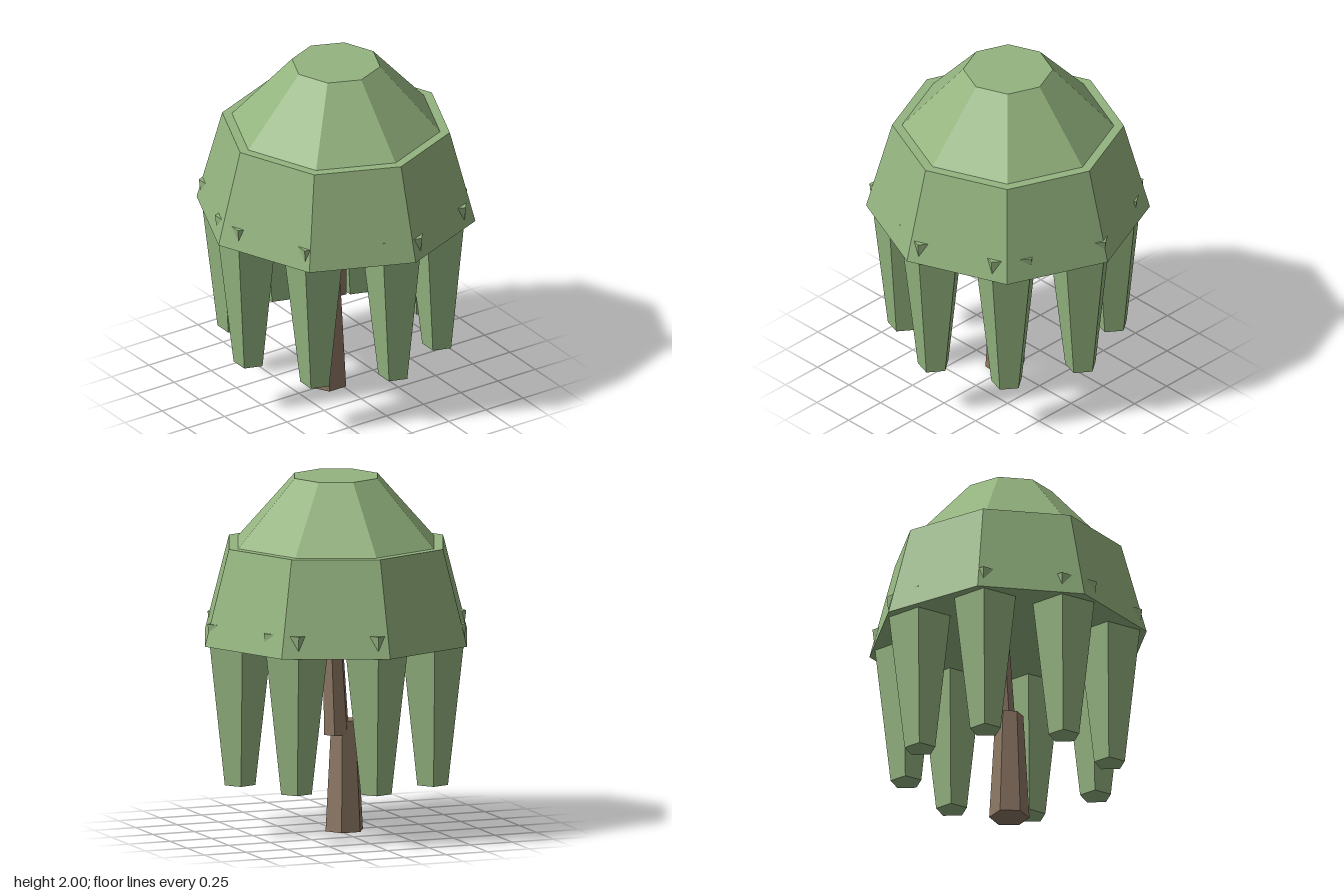
import * as THREE from 'three';

const leafGreen = new THREE.MeshStandardMaterial({ color: 0x94b47f, flatShading: true });
leafGreen.name = 'leafGreen';
const barkBrown = new THREE.MeshStandardMaterial({ color: 0x8d7864, flatShading: true });
barkBrown.name = 'barkBrown';

// Tapered faceted prism running between two points
function taper(name, material, from, to, rBottom, rTop, sides, turn = 0) {
  const a = new THREE.Vector3(...from);
  const b = new THREE.Vector3(...to);
  const axis = b.clone().sub(a);
  const geometry = new THREE.CylinderGeometry(rTop, rBottom, axis.length(), sides, 1, false, turn);
  const mesh = new THREE.Mesh(geometry, material);
  mesh.name = name;
  mesh.position.copy(a).add(b).multiplyScalar(0.5);
  mesh.quaternion.setFromUnitVectors(new THREE.Vector3(0, 1, 0), axis.normalize());
  return mesh;
}

export function createModel() {
  const tree = new THREE.Group();
  tree.name = 'willowTree';

  // Two-piece trunk, the upper piece leaning slightly
  tree.add(taper('lowerTrunk', barkBrown, [-0.042, 0, -0.018], [-0.042, 0.625, -0.018], 0.1125, 0.078, 6, Math.PI / 2));
  tree.add(taper('upperTrunk', barkBrown, [0.01, 0.55, -0.03], [0.04, 1.2, -0.04], 0.075, 0.055, 6, Math.PI / 2));

  // Two-tier octagonal crown
  tree.add(taper('lowerCrown', leafGreen, [0, 1.085, 0], [0, 1.625, 0], 0.79, 0.645, 8));
  tree.add(taper('upperCrown', leafGreen, [0, 1.625, 0], [0, 2, 0], 0.59, 0.25, 8));

  // Ring of hanging five-sided fronds whose upper corners poke through the crown
  const fronds = new THREE.Group();
  fronds.name = 'hangingFronds';
  for (let i = 0; i < 8; i++) {
    const angle = (i * Math.PI) / 4;
    const x = 0.58 * Math.cos(angle);
    const z = 0.58 * Math.sin(angle);
    fronds.add(taper('hangingFrond', leafGreen, [x, 0.295, z], [x, 1.21, z], 0.09, 0.194, 5, Math.PI / 2));
  }
  tree.add(fronds);
  return tree;
}
